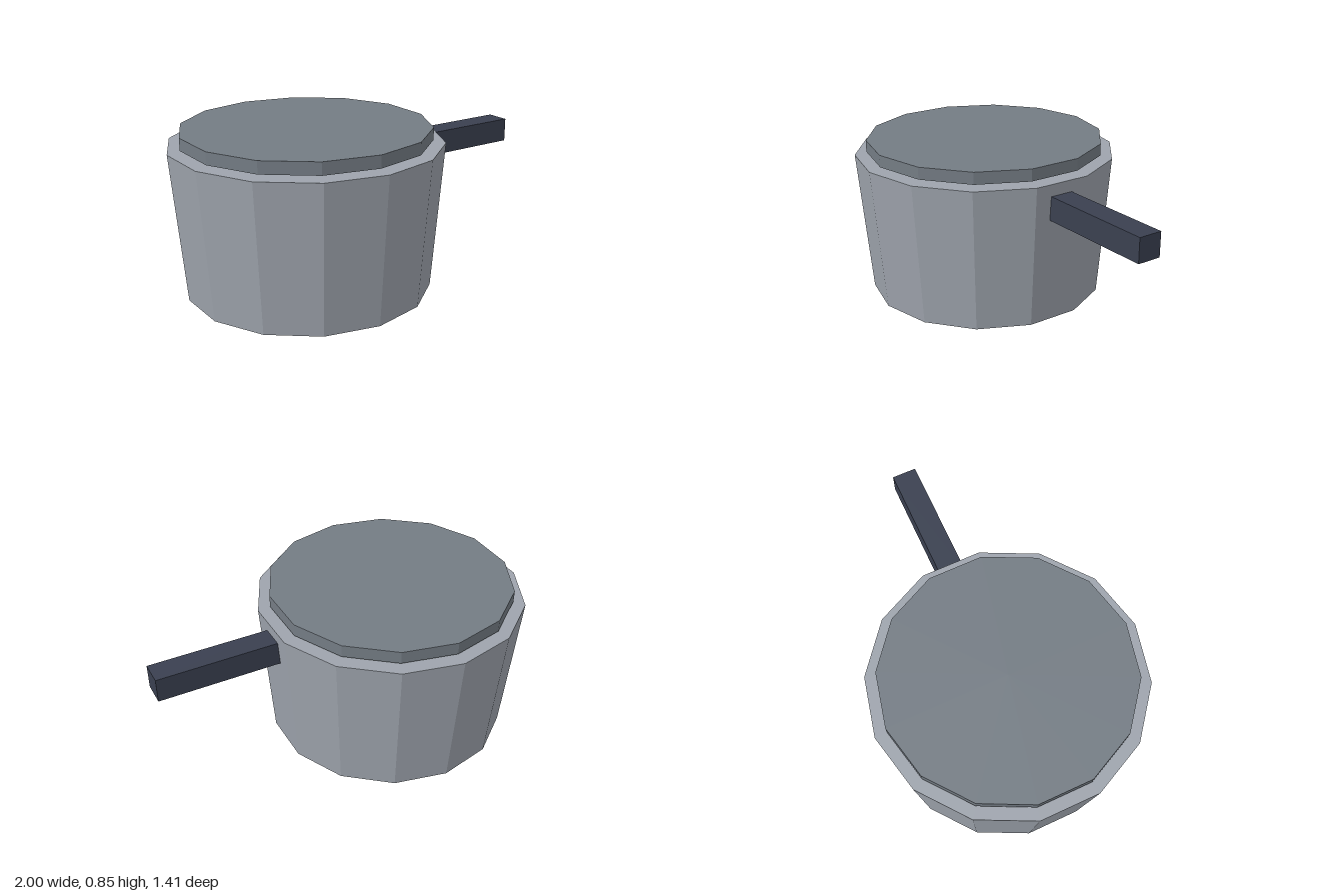
import * as THREE from 'three';

const SIDES = 14;
const POT_X = -0.315;

function material(name, color) {
  const m = new THREE.MeshStandardMaterial({ color });
  m.name = name;
  return m;
}

export function createModel() {
  const model = new THREE.Group();
  model.name = 'saucepan';

  const steel = material('steel', 0x9ea4ad);
  const lidGrey = material('lidGrey', 0x747c84);
  const handleDark = material('handleDark', 0x3a4050);

  function add(name, geometry, mat, x, y) {
    const faceted = geometry.toNonIndexed();
    faceted.computeVertexNormals(); // hard facets
    const mesh = new THREE.Mesh(faceted, mat);
    mesh.name = name;
    mesh.position.set(x, y, 0);
    model.add(mesh);
  }

  // Tapered pot, wider at the rim
  add('pot', new THREE.CylinderGeometry(0.703, 0.64, 0.773, SIDES), steel, POT_X, 0.3865);

  // Thin lid floating just above the rim
  add('lid', new THREE.CylinderGeometry(0.64, 0.64, 0.064, SIDES), lidGrey, POT_X, 0.819);

  // Straight square handle on the left side, sunk into the pot wall
  add('handle', new THREE.BoxGeometry(0.68, 0.128, 0.128), handleDark, 0.66, 0.644);

  return model;
}
